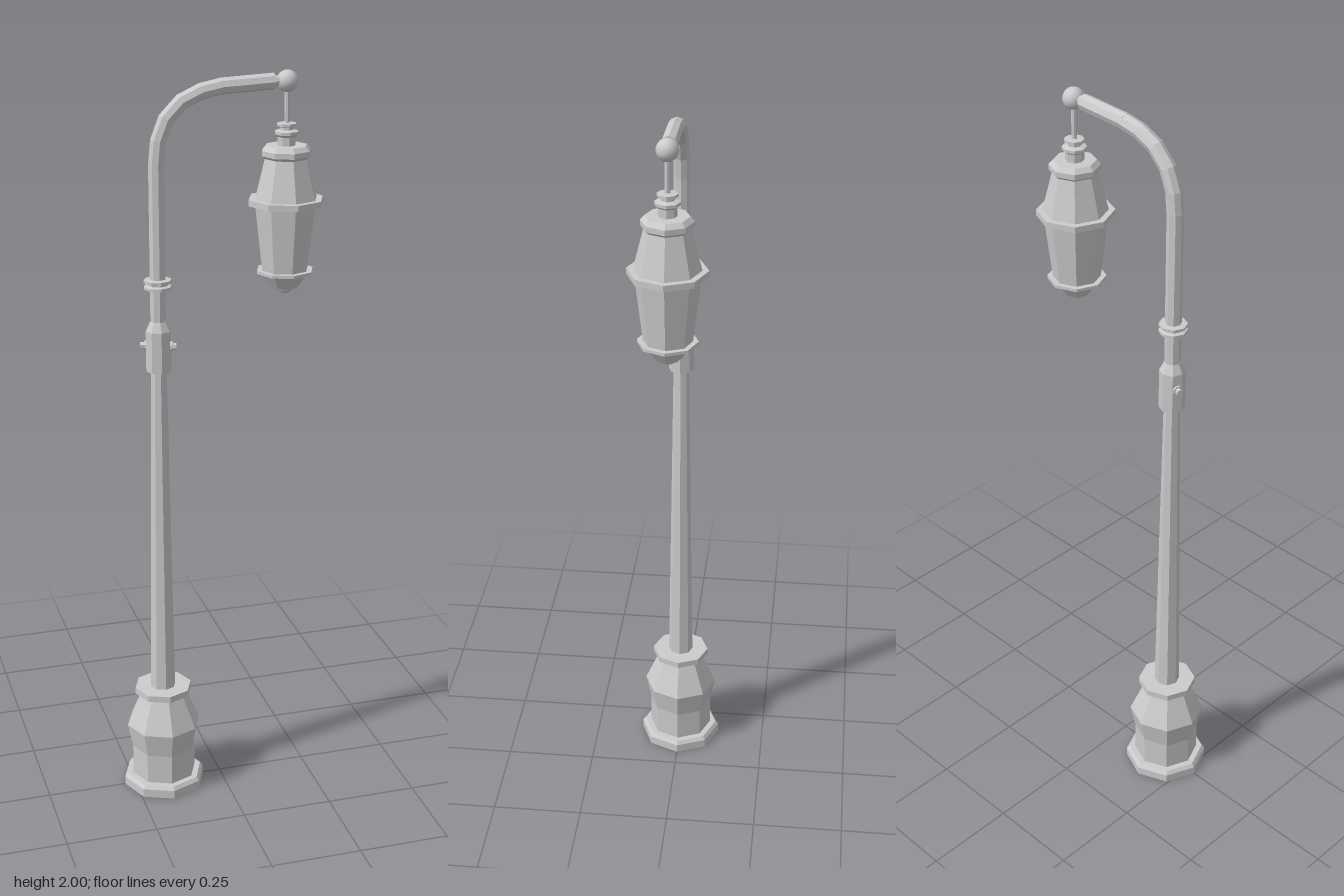
import * as THREE from 'three';

const SIDES = 8, POLE_X = -0.165, LAMP_X = 0.179;
const flat = new THREE.MeshStandardMaterial({ color: 0xcccccc, flatShading: true });
const smooth = new THREE.MeshStandardMaterial({ color: 0xcccccc });

export function createModel() {
  const group = new THREE.Group();

  const add = (name, geometry, material = flat) => {
    const mesh = new THREE.Mesh(geometry, material);
    mesh.name = name;
    group.add(mesh);
    return mesh;
  };

  // Octagonal turned part: [radius, height] pairs from bottom to top
  const turned = (name, x, profile, sides = SIDES) => {
    const points = profile.map(([r, y]) => new THREE.Vector2(r, y));
    add(name, new THREE.LatheGeometry(points, sides)).position.x = x;
  };

  // Straight bar between two points
  const bar = (name, a, b, radius, sides = SIDES) => {
    const dir = b.clone().sub(a);
    const mesh = add(name, new THREE.CylinderGeometry(radius, radius, dir.length(), sides));
    mesh.position.copy(a).add(b).multiplyScalar(0.5);
    mesh.quaternion.setFromUnitVectors(new THREE.Vector3(0, 1, 0), dir.normalize());
  };
  const V = (x, y, z = 0) => new THREE.Vector3(x, y, z);

  // Pedestal
  turned('base', POLE_X, [
    [0, 0], [0.115, 0], [0.115, 0.024], [0.107, 0.034], [0.09, 0.034], [0.09, 0.12],
    [0.104, 0.19], [0.065, 0.28], [0.08, 0.287], [0.08, 0.305], [0, 0.305],
  ]);

  // Tapered pole, joint sleeve and upper post
  turned('lowerPole', POLE_X, [[0, 0.3], [0.035, 0.3], [0.021, 1.25], [0, 1.25]]);
  turned('sleeve', POLE_X, [[0, 1.235], [0.034, 1.235], [0.034, 1.345], [0.022, 1.37], [0, 1.37]]);
  turned('upperPole', POLE_X, [[0, 1.36], [0.021, 1.36], [0.021, 1.785], [0, 1.785]]);
  turned('collar', POLE_X, [
    [0.02, 1.455], [0.037, 1.457], [0.037, 1.464], [0.028, 1.467], [0.028, 1.471],
    [0.037, 1.474], [0.037, 1.481], [0.02, 1.483],
  ]);

  // Opposed bolts through the sleeve
  for (const side of [1, -1]) {
    const d = V(Math.cos(Math.PI / 8), 0, Math.sin(Math.PI / 8)).multiplyScalar(side);
    const at = (r) => V(POLE_X, 1.303).addScaledVector(d, r);
    bar('boltWasher', at(0.028), at(0.037), 0.013);
    bar('boltHead', at(0.036), at(0.048), 0.009, 6);
  }

  // Curved arm
  const bend = new THREE.CubicBezierCurve3(
    V(POLE_X, 1.78), V(POLE_X, 1.905), V(-0.1, 1.955), V(0.01, 1.967));
  add('armBend', new THREE.TubeGeometry(bend, 5, 0.021, SIDES));
  bar('armEnd', V(0, 1.966), V(0.144, 1.973), 0.021);
  bar('armPin', V(0.14, 1.973), V(0.165, 1.973), 0.013);

  // Ball joint and hanging rod
  add('ballJoint', new THREE.SphereGeometry(0.028, 16, 12), smooth).position.set(LAMP_X, 1.972, 0);
  bar('hangingRod', V(LAMP_X, 1.85), V(LAMP_X, 1.955), 0.007);

  // Lantern: cap with neck, middle rim, glass and bottom finial
  turned('lanternNeck', LAMP_X, [
    [0, 1.8], [0.024, 1.8], [0.024, 1.832], [0.032, 1.838], [0.032, 1.846],
    [0.018, 1.85], [0.018, 1.856], [0.026, 1.859], [0.026, 1.866], [0, 1.868],
  ]);
  turned('lanternHood', LAMP_X, [
    [0, 1.67], [0.085, 1.67], [0.058, 1.777], [0.066, 1.784], [0.066, 1.798], [0.055, 1.81], [0, 1.81],
  ]);
  turned('lanternRim', LAMP_X, [[0, 1.657], [0.101, 1.657], [0.101, 1.673], [0, 1.673]]);
  turned('lanternGlass', LAMP_X, [[0, 1.48], [0.062, 1.48], [0.083, 1.66], [0, 1.66]]);
  turned('lanternFoot', LAMP_X, [
    [0, 1.432], [0.035, 1.436], [0.062, 1.474], [0.077, 1.476], [0.077, 1.484], [0, 1.484],
  ]);
  const finial = add('finial', new THREE.SphereGeometry(0.022, 12, 8), smooth);
  finial.position.set(LAMP_X, 1.436, 0);
  finial.scale.y = 0.75;

  return group;
}
